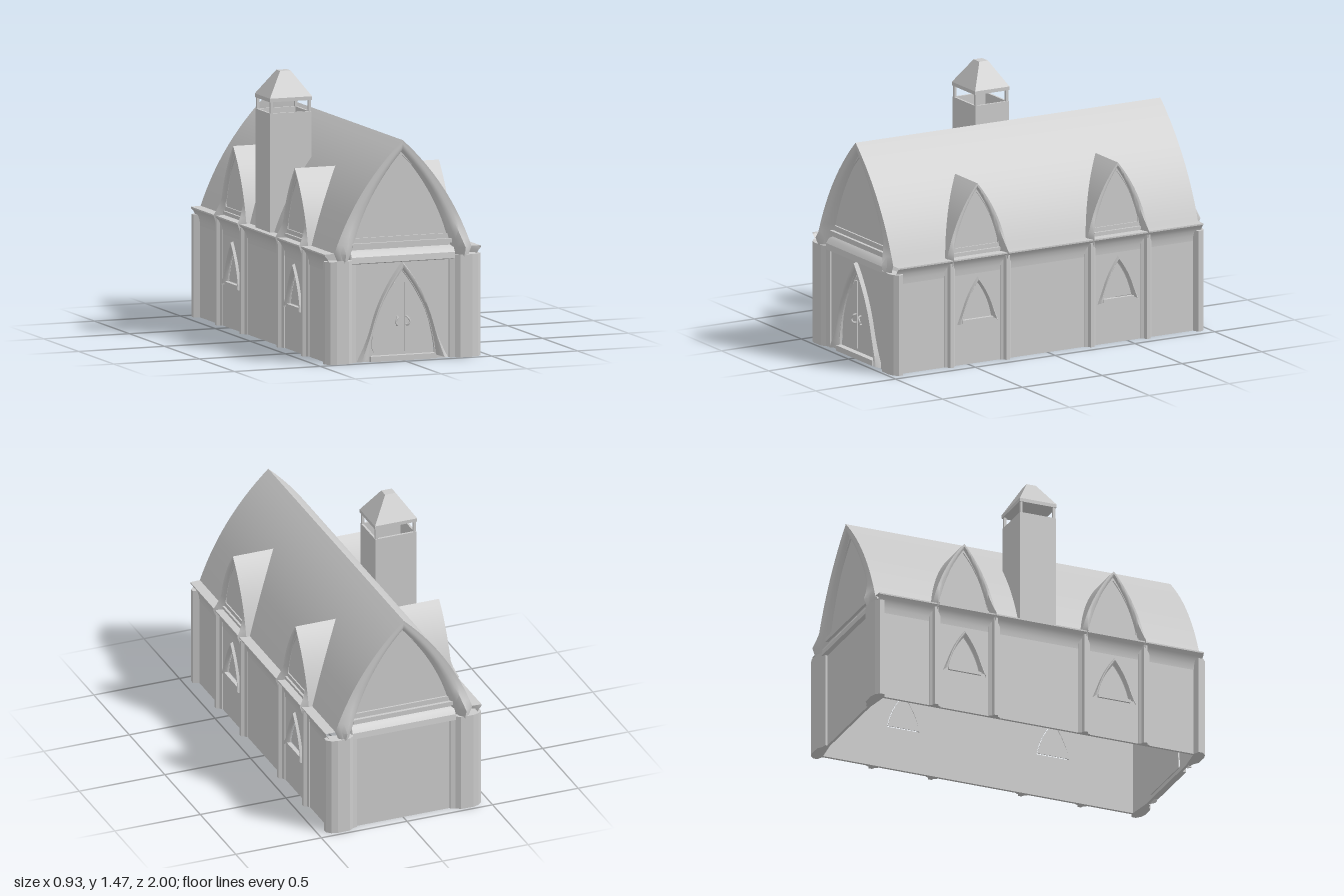
import * as THREE from 'three';
import { toCreasedNormals } from 'three/addons/utils/BufferGeometryUtils.js';

const mat = new THREE.MeshStandardMaterial({ color: 0xcccccc, side: THREE.DoubleSide });
const EAVE = 0.6, STEPS = 14;

function add(parent, name, geo, x = 0, y = 0, z = 0) {
  const m = new THREE.Mesh(geo, mat);
  m.name = name;
  m.position.set(x, y, z);
  parent.add(m);
  return m;
}
const box = (w, h, d) => new THREE.BoxGeometry(w, h, d);

// Surface through rows of [x, y, z] points
function grid(rows, crease = 0.5) {
  const n = rows[0].length, index = [];
  for (let i = 0; i < rows.length - 1; i++)
    for (let j = 0; j < n - 1; j++) {
      const a = i * n + j, b = a + n;
      index.push(a, b, a + 1, b, b + 1, a + 1);
    }
  const g = new THREE.BufferGeometry();
  g.setAttribute('position', new THREE.Float32BufferAttribute(rows.flat(2), 3));
  g.setIndex(index);
  return toCreasedNormals(g, crease);
}

// Right half of a pointed arch, from springing (w, y0) to apex (0, y1)
const halfArch = (w, y0, y1, cx = 0.69, cy = 0.58) => new THREE.QuadraticBezierCurve(
  new THREE.Vector2(w, y0),
  new THREE.Vector2(w * cx, y0 + (y1 - y0) * cy),
  new THREE.Vector2(0, y1));

// Closed outline of a pointed arch, extended straight down to yb
function archOutline(curve, yb) {
  const p = curve.getPoints(STEPS);
  const left = p.slice(0, -1).reverse().map(v => new THREE.Vector2(-v.x, v.y));
  const w = p[0].x, pts = [...p, ...left];
  if (yb < p[0].y) pts.push(new THREE.Vector2(-w, yb), new THREE.Vector2(w, yb));
  return pts;
}
function plate(outline, depth, holes = []) {
  const s = new THREE.Shape(outline);
  holes.forEach(h => s.holes.push(new THREE.Path(h)));
  return new THREE.ExtrudeGeometry(s, { depth, bevelEnabled: false });
}

// Upright prism over a plan of [x, z] points
function prism(plan, h) {
  const g = plate(plan.map(([x, z]) => new THREE.Vector2(x, -z)), h);
  return g.rotateX(-Math.PI / 2);
}

// Two mirrored ribs between an outer and an inner arch; feet flare forwards
function archRibs(parent, name, outer, inner, o) {
  for (const s of [1, -1]) {
    const rows = [];
    for (let i = 0; i <= STEPS; i++) {
      const t = i / STEPS, a = outer.getPoint(t), b = inner.getPoint(t);
      const f = Math.max(0, 1 - t / 0.35) ** 2;
      a.x += (o.spread || 0) * f;
      const at = k => [s * (a.x + (b.x - a.x) * k), a.y + (b.y - a.y) * k];
      rows.push([[...at(0), o.z0], [...at(0.25), o.z + o.flare * f * 0.5],
        [...at(0.45), o.z + o.flare * f], [...at(0.75), o.z + o.flare * f * 0.4 - 0.006], [...at(1), o.zi]]);
    }
    // Tapered corbel below the foot
    if (o.corbel) {
      const r = rows[0], c = r[2];
      rows.unshift(r.map(p => [c[0] + (p[0] - c[0]) * 0.45, c[1] - o.corbel, Math.min(p[2], o.z + o.flare * 0.45)]));
    }
    add(parent, name, grid(rows, 0.7));
  }
}

// Roof profile and its half width at a given height
const roofArch = halfArch(0.4, EAVE, 1.2, 0.6875, 0.5833);
function roofHalfWidth(y) {
  const t = (0.7 - Math.sqrt(0.49 - 0.4 * (y - EAVE))) / 0.2;
  return 0.4 * (1 - t) ** 2 + 0.55 * t * (1 - t);
}

function gable(withDoor) {
  const g = new THREE.Group();
  g.name = withDoor ? 'frontGable' : 'backGable';
  const doorIn = halfArch(0.19, 0.02, 0.49, 0.93, 0.55);
  const tympanum = archOutline(halfArch(0.272, 0.75, 1.12, 0.64, 0.58), 0.675);
  const wall = [[-0.3, 0], [0.3, 0], [0.3, EAVE], [-0.3, EAVE]].map(p => new THREE.Vector2(...p));

  add(g, 'lowerWall', plate(wall, 0.015, withDoor ? [archOutline(doorIn, 0.02)] : []), 0, 0, 0.93);
  add(g, 'tympanumPanel', plate(archOutline(roofArch, EAVE), 0.005), 0, 0, 0.915);
  add(g, 'tympanumSurround', plate(archOutline(halfArch(0.37, EAVE, 1.17), EAVE), 0.01, [tympanum]), 0, 0, 0.92);
  archRibs(g, 'gableRib', roofArch, halfArch(0.285, EAVE, 1.13, 0.76, 0.55),
    { z0: 0.955, z: 0.953, zi: 0.925, flare: 0.047, corbel: 0.07 });

  // Sloping string course and bead
  add(g, 'stringCourse', grid([-0.3, 0.3].map(x =>
    [[x, 0.535, 0.945], [x, 0.542, 0.967], [x, 0.575, 0.963], [x, 0.6, 0.945], [x, 0.612, 0.928]])));
  add(g, 'bead', box(0.58, 0.022, 0.025), 0, 0.636, 0.935);

  // Faceted corner piers
  for (const s of [1, -1]) {
    const plan = [[0.27, 0.93], [0.272, 0.955], [0.3, 0.962], [0.325, 0.98], [0.395, 0.982],
      [0.43, 0.972], [0.453, 0.95], [0.453, 0.925], [0.42, 0.91]];
    add(g, 'cornerPier', prism(plan.map(([x, z]) => [s * x, z]), 0.56));
  }
  if (withDoor) addDoor(g, doorIn);
  return g;
}

function addDoor(g, doorIn) {
  const door = new THREE.Group();
  door.name = 'door';
  g.add(door);
  archRibs(door, 'doorFrame', halfArch(0.212, 0, 0.54, 0.95, 0.55), doorIn,
    { z0: 0.945, z: 0.967, zi: 0.935, flare: 0.012, spread: 0.055 });
  add(door, 'doorBacking', plate(archOutline(doorIn, 0.02), 0.006), 0, 0, 0.922);
  add(door, 'threshold', box(0.38, 0.03, 0.035), 0, 0.015, 0.948);
  for (const s of [1, -1]) {
    // Raised leaf panel under one half of the arch
    const pts = halfArch(0.17, 0.13, 0.47, 0.93, 0.5).getPoints(STEPS).filter(p => p.x > 0.022);
    const last = pts[pts.length - 1];
    const outline = [[0.02, 0.045], [0.16, 0.045], [0.172, 0.07]].map(p => new THREE.Vector2(...p))
      .concat(pts, [new THREE.Vector2(0.02, last.y)]);
    add(door, 'doorPanel', plate(outline.map(p => new THREE.Vector2(s * p.x, p.y)), 0.007), 0, 0, 0.928);
    const path = new THREE.CatmullRomCurve3([[0.026, 0.237, 0.935], [0.028, 0.233, 0.952],
      [0.042, 0.21, 0.955], [0.03, 0.192, 0.952], [0.028, 0.19, 0.935]]
      .map(([x, y, z]) => new THREE.Vector3(s * x, y, z)));
    add(door, 'doorHandle', new THREE.TubeGeometry(path, 12, 0.005, 6));
  }
}

// One bay of the long side: dormer, window and two pilasters
function bay() {
  const g = new THREE.Group();
  g.name = 'sideBay';
  const outer = halfArch(0.19, EAVE, 1.0, 0.74, 0.58);
  const inner = halfArch(0.15, 0.64, 0.965, 0.72, 0.58);
  const outline = archOutline(outer, EAVE);
  add(g, 'dormerRoof', grid(outline.map(p => [[p.x, p.y, 0.42], [p.x, p.y, roofHalfWidth(p.y) - 0.002]]), 0.6));
  add(g, 'dormerPanel', plate(outline, 0.005), 0, 0, 0.396);
  add(g, 'dormerSurround', plate(outline, 0.008, [archOutline(halfArch(0.135, 0.68, 0.95, 0.7, 0.58), 0.65)]), 0, 0, 0.4);
  add(g, 'dormerSill', box(0.29, 0.016, 0.02), 0, 0.618, 0.41);
  archRibs(g, 'dormerRib', outer, halfArch(0.148, EAVE, 0.965, 0.76, 0.56),
    { z0: 0.42, z: 0.42, zi: 0.405, flare: 0.045, corbel: 0.07 });

  archRibs(g, 'windowFrame', halfArch(0.115, 0.225, 0.48, 0.78, 0.55), halfArch(0.092, 0.245, 0.45, 0.8, 0.55),
    { z0: 0.42, z: 0.435, zi: 0.415, flare: 0.008, spread: 0.012 });
  add(g, 'windowPane', plate(archOutline(inner, 0.64).map(p =>
    new THREE.Vector2(p.x * 0.62, 0.25 + (p.y - 0.64) * 0.6)), 0.004), 0, 0, 0.401);
  add(g, 'windowSill', box(0.19, 0.018, 0.02), 0, 0.24, 0.421);

  for (const s of [1, -1]) {
    const plan = [[-0.033, 0.41], [-0.033, 0.425], [-0.018, 0.432], [-0.011, 0.45], [0.011, 0.45],
      [0.018, 0.432], [0.033, 0.425], [0.033, 0.41]];
    add(g, 'pilaster', prism(plan, 0.58), s * 0.175, 0, 0);
  }
  return g;
}

function longSide(sign) {
  const g = new THREE.Group();
  g.name = sign > 0 ? 'leftSide' : 'rightSide';
  const L = 0.955;
  const wall = [[-L, 0], [L, 0], [L, 0.5], [-L, 0.5]].map(p => new THREE.Vector2(...p));
  const holes = [-0.44, 0.44].map(u => archOutline(halfArch(0.095, 0.245, 0.455, 0.8, 0.55), 0.245)
    .map(p => new THREE.Vector2(p.x + u, p.y)));
  add(g, 'sideWall', plate(wall, 0.015, holes), 0, 0, 0.405);
  // Coved cornice with a flat top ledge
  add(g, 'cornice', grid([-L, L].map(u => [[0.5, 0.42], [0.53, 0.423], [0.555, 0.43], [0.575, 0.44],
    [0.592, 0.455], [0.6, 0.455], [0.602, 0.395]].map(([y, z]) => [u, y, z]))));
  for (const u of [-0.44, 0.44]) {
    const b = bay();
    b.position.x = u;
    g.add(b);
  }
  g.rotation.y = sign * Math.PI / 2;
  return g;
}

function chimney() {
  const g = new THREE.Group();
  g.name = 'chimney';
  const w = 0.24, d = 0.21;
  const ring = (a, b) => [[a, b], [-a, b], [-a, -b], [a, -b]].map(p => new THREE.Vector2(...p));
  const shaft = plate(ring(w / 2, d / 2), 0.65, [ring(w / 2 - 0.012, d / 2 - 0.012)]);
  add(g, 'chimneyShaft', shaft.rotateX(-Math.PI / 2), 0, EAVE, 0);
  for (const sx of [1, -1]) for (const sz of [1, -1])
    add(g, 'chimneyPost', box(0.014, 0.07, 0.014), sx * (w / 2 - 0.009), 1.28, sz * (d / 2 - 0.009));
  add(g, 'chimneySlab', box(w + 0.006, 0.02, d + 0.006), 0, 1.322, 0);
  // Truncated pyramid cap
  const cap = new THREE.CylinderGeometry(0.25 * Math.SQRT1_2, Math.SQRT1_2, 0.135, 4)
    .toNonIndexed().rotateY(Math.PI / 4).scale(w + 0.006, 1, d + 0.006);
  cap.computeVertexNormals();
  add(g, 'chimneyCap', cap, 0, 1.3995, 0);
  g.position.set(-0.303, 0, -0.008);
  return g;
}

export function createModel() {
  const model = new THREE.Group();
  model.name = 'chapel';
  // Vaulted roof shell
  add(model, 'roof', grid(archOutline(roofArch, EAVE).map(p => [[p.x, p.y, 0.955], [p.x, p.y, -0.955]])));
  const back = gable(false);
  back.rotation.y = Math.PI;
  model.add(gable(true), back, longSide(1), longSide(-1), chimney());
  return model;
}
